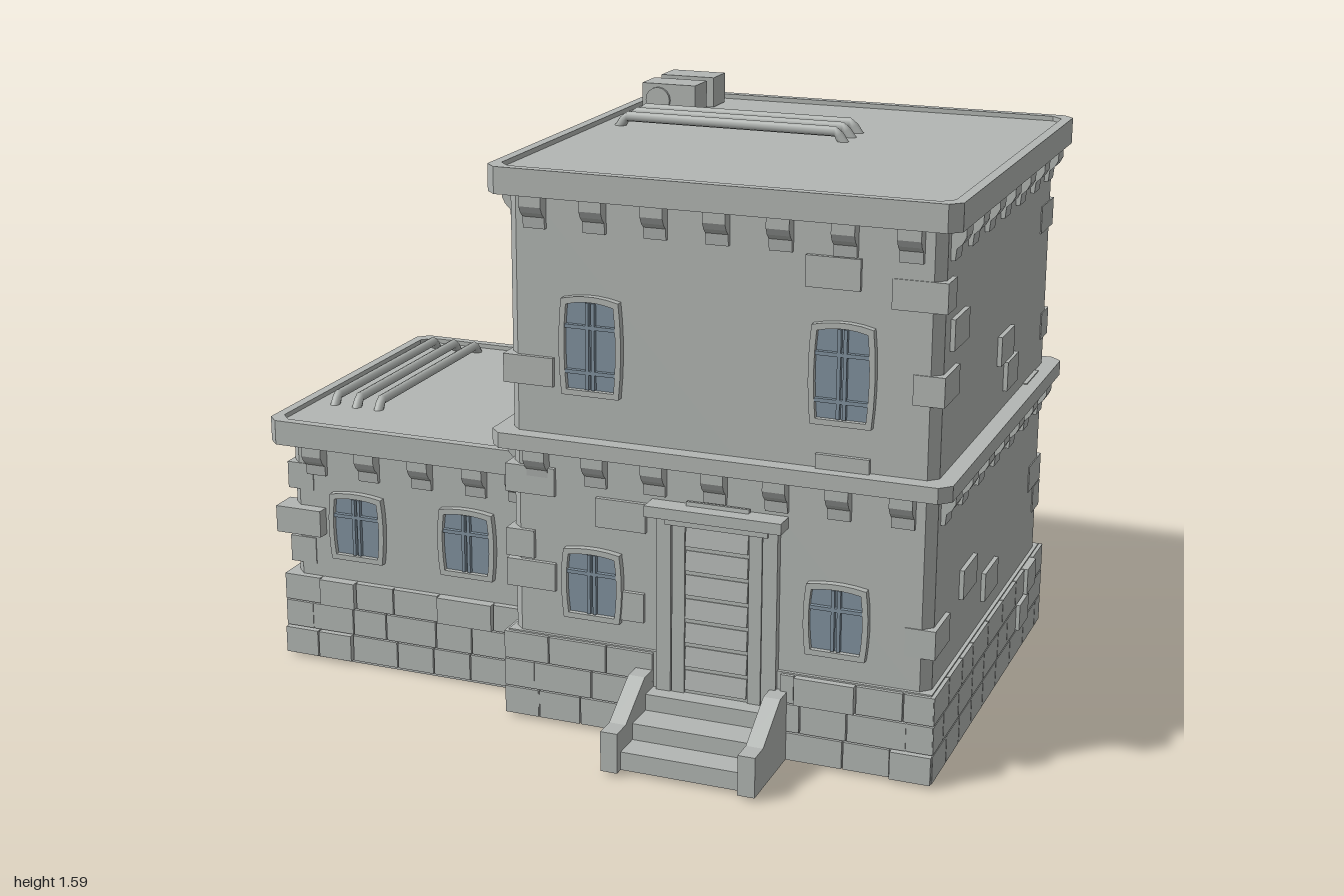
import * as THREE from 'three';

export function createModel() {
  const stone = new THREE.MeshStandardMaterial({ color: 0xb2b6b3 });
  stone.name = 'stone grey';
  const glass = new THREE.MeshStandardMaterial({ color: 0x80919e });
  glass.name = 'window blue grey';
  const model = new THREE.Group();
  model.name = 'building';

  let seed = 7;
  const rnd = (a, b) => {
    seed = (seed * 16807) % 2147483647;
    return a + (b - a) * (seed / 2147483647);
  };
  const add = (parent, name, geo, x = 0, y = 0, z = 0, mat = stone) => {
    const m = new THREE.Mesh(geo, mat);
    m.name = name;
    m.position.set(x, y, z);
    parent.add(m);
    return m;
  };
  const box = (parent, name, w, h, d, x, y, z, mat) =>
    add(parent, name, new THREE.BoxGeometry(w, h, d), x, y, z, mat);
  const extrude = (shape, depth) =>
    new THREE.ExtrudeGeometry(shape, { depth, bevelEnabled: false, curveSegments: 5 });
  const polygon = (pts) => new THREE.Shape(pts.map(([x, y]) => new THREE.Vector2(x, y)));

  // Group on one side of a block: local +z points outward from the wall
  const side = (name, cx, cz, angle, dist) => {
    const g = new THREE.Group();
    g.name = name;
    g.rotation.y = angle;
    g.position.set(cx + Math.sin(angle) * dist, 0, cz + Math.cos(angle) * dist);
    model.add(g);
    return g;
  };

  // Hollow rectangle with cut corners: walls, foundations and cornices
  const cutRect = (hx, hz, c) => polygon([
    [hx - c, -hz], [hx, -hz + c], [hx, hz - c], [hx - c, hz],
    [-hx + c, hz], [-hx, hz - c], [-hx, -hz + c], [-hx + c, -hz],
  ]);
  const ring = (name, cx, cz, hx, hz, inset, cut, y, h) => {
    const s = cutRect(hx, hz, cut);
    s.holes.push(cutRect(hx - inset, hz - inset, cut));
    add(model, name, extrude(s, h), cx, y, cz).rotation.x = -Math.PI / 2;
  };

  // Corbel row under a cornice
  const corbelGeo = extrude(polygon([
    [-0.015, 0.01], [0.037, 0.01], [0.037, -0.028], [0.028, -0.045], [0.014, -0.058],
    [0.011, -0.088], [-0.015, -0.088],
  ]), 0.06);
  corbelGeo.rotateY(-Math.PI / 2);
  corbelGeo.translate(0.03, 0, 0);
  const corbels = (g, y, positions) => positions.forEach((x) => add(g, 'corbel', corbelGeo, x, y, 0));

  // Three staggered courses of foundation bricks, leaving a gap where asked
  const baseBricks = (g, half, gap = [9, 9]) => {
    for (let row = 0; row < 3; row++) {
      let x = -half, n = row;
      while (x < half - 0.01) {
        let w = rnd(0.1, 0.17) * (x === -half && row % 2 ? 0.6 : 1);
        if (x + w > half - 0.06) w = half - x;
        const a = x, b = x + w;
        x = b;
        const out = rnd(0, 1) < 0.12 ? 0.01 : 0;
        const depth = n++ % 2 ? 0.1 : 0.055;
        const spans = b <= gap[0] || a >= gap[1] ? [[a, b]] : [[a, gap[0]], [gap[1], b]];
        for (const [s, e] of spans) {
          if (e - s < 0.015) continue;
          box(g, 'foundationBrick', e - s - 0.004, 0.076, depth,
            (s + e) / 2, 0.048 + row * 0.08, out - depth / 2);
        }
      }
    }
  };

  const wallBricks = (g, list) => list.forEach(([x, y, w = 0.14, h = 0.08]) =>
    box(g, 'wallBrick', w, h, 0.05, x, y, -0.013));

  // Corner stones, alternating their long side
  const quoins = (x, z, sx, sz, rows, outX, outZ) => rows.forEach(([y, longX]) => {
    const w = longX ? 0.14 : 0.08, d = longX ? 0.08 : 0.14;
    box(model, 'cornerStone', w, 0.077, d, x + sx * (outX - w / 2), y, z + sz * (outZ - d / 2));
  });

  // Window: arched frame, glass plate and glazing bars
  const archPath = (w, h) => {
    const p = new THREE.Shape();
    p.moveTo(-w * 0.46, -h / 2);
    p.lineTo(w * 0.46, -h / 2);
    p.quadraticCurveTo(w * 0.54, 0, w * 0.46, h * 0.46);
    p.quadraticCurveTo(0, h * 0.54, -w * 0.46, h * 0.46);
    p.quadraticCurveTo(-w * 0.54, 0, -w * 0.46, -h / 2);
    return p;
  };
  const windowAt = (g, x, y, h) => {
    const win = new THREE.Group();
    win.name = 'window';
    win.position.set(x, y, 0);
    g.add(win);
    const frame = archPath(0.172, h);
    frame.holes.push(archPath(0.142, h - 0.03));
    add(win, 'windowFrame', extrude(frame, 0.025), 0, 0, -0.005);
    add(win, 'windowGlass', extrude(archPath(0.15, h - 0.02), 0.006), 0, 0, 0, glass);
    for (const s of [-1, 1]) box(win, 'glazingBar', 0.009, h - 0.035, 0.016, s * 0.008, 0, 0.01, glass);
    const bars = h > 0.23 ? [-0.07, 0.05] : [0.03];
    bars.forEach((b) => box(win, 'glazingBar', 0.138, 0.01, 0.016, 0, b, 0.01, glass));
  };

  // Main tower
  const CX = 0.38, CZ = -0.11;
  ring('towerFoundation', CX, CZ, 0.585, 0.585, 0.03, 0.001, 0.01, 0.24);
  ring('towerWalls', CX, CZ, 0.575, 0.575, 0.02, 0.025, 0.24, 1.255);
  ring('middleCornice', CX, CZ, 0.62, 0.62, 0.06, 0.03, 0.77, 0.042);
  ring('topCornice', CX, CZ, 0.62, 0.62, 0.06, 0.03, 1.445, 0.053);
  ring('roofRim', CX, CZ, 0.62, 0.62, 0.027, 0.03, 1.498, 0.018);
  box(model, 'towerRoof', 1.2, 0.01, 1.2, CX, 1.498, CZ);

  const row7 = [-3, -2, -1, 0, 1, 2, 3].map((i) => i * 0.165);
  const towerSides = ['front', 'left', 'back', 'right'].map((n, i) => {
    const g = side(n + 'TowerSide', CX, CZ, i * Math.PI / 2, 0.575);
    corbels(g, 1.445, row7);
    corbels(g, 0.77, i === 3 ? [-0.495, 0.495] : row7);
    const base = side(n + 'TowerFoundation', CX, CZ, i * Math.PI / 2, 0.595);
    baseBricks(base, 0.595, i === 0 ? [-0.165, 0.185] : i === 3 ? [-0.45, 0.44] : undefined);
    return g;
  });
  wallBricks(towerSides[0], [[0.3, 1.315], [0.335, 0.81], [-0.26, 0.615], [-0.23, 0.365, 0.07]]);
  wallBricks(towerSides[1], [[-0.43, 1.165], [0.07, 0.99], [0.14, 0.9, 0.12], [-0.24, 0.445],
    [0, 0.35], [0.39, 0.775]]);
  wallBricks(towerSides[2], [[0.16, 1.2], [-0.37, 0.93], [0.15, 0.46]]);
  wallBricks(towerSides[3], [[-0.15, 1.18], [-0.19, 1.07, 0.12], [0.16, 1.19]]);
  for (const x of [-0.34, 0.33]) {
    windowAt(towerSides[0], x, 1.062, 0.265);
    windowAt(towerSides[0], x, 0.413, 0.2);
  }
  quoins(-0.195, 0.465, -1, 1, [[0.415, 1], [0.5, 0], [0.68, 1], [0.98, 1]], 0.012, 0.012);
  quoins(0.955, 0.465, 1, 1, [[0.38, 0], [1.04, 0], [1.275, 1]], 0.012, 0.003);
  quoins(0.955, -0.685, 1, -1, [[0.41, 1], [0.49, 0], [0.93, 1], [1.25, 0]], 0.003, 0.012);
  quoins(-0.195, -0.685, -1, -1, [[0.42, 1], [0.95, 0], [1.03, 1], [1.3, 0]], 0.012, 0.012);

  // Side wing
  const WX = -0.59, WZ = -0.115;
  ring('wingFoundation', -0.5825, WZ, 0.3825, 0.44, 0.03, 0.001, 0, 0.245);
  ring('wingWalls', -0.57, WZ, 0.38, 0.43, 0.02, 0.025, 0.24, 0.45);
  ring('wingCornice', WX, WZ, 0.41, 0.475, 0.065, 0.03, 0.64, 0.053);
  ring('wingRoofRim', WX, WZ, 0.41, 0.475, 0.027, 0.03, 0.693, 0.017);
  box(model, 'wingRoof', 0.78, 0.01, 0.91, WX, 0.692, WZ);
  const wingFront = side('wingFront', WX, WZ, 0, 0.43);
  const wingBack = side('wingBack', WX, WZ, Math.PI, 0.43);
  const wingEnd = side('wingEnd', WX, WZ, -Math.PI / 2, 0.36);
  const wingRow = [-0.275, -0.11, 0.055, 0.22, 0.35];
  corbels(wingFront, 0.64, wingRow);
  corbels(wingBack, 0.64, wingRow.map((x) => -x));
  corbels(wingEnd, 0.64, [-0.33, -0.165, 0, 0.165, 0.33]);
  [-0.15, 0.19].forEach((x) => {
    windowAt(wingFront, x, 0.413, 0.2);
    windowAt(wingBack, -x, 0.413, 0.2);
  });
  [-0.17, 0.17].forEach((x) => windowAt(wingEnd, x, 0.413, 0.2));
  baseBricks(side('wingFrontFoundation', WX, WZ, 0, 0.45), 0.385);
  baseBricks(side('wingBackFoundation', WX, WZ, Math.PI, 0.45), 0.385);
  baseBricks(side('wingEndFoundation', WX, WZ, -Math.PI / 2, 0.385), 0.45);
  quoins(-0.95, 0.315, -1, 1, [[0.415, 1]], 0.035, 0.035);
  quoins(-0.95, 0.315, -1, 1, [[0.32, 0], [0.54, 0]], 0.01, 0.003);
  quoins(-0.95, -0.545, -1, -1, [[0.42, 0]], 0.03, 0.03);
  quoins(-0.95, -0.545, -1, -1, [[0.31, 1], [0.53, 1]], 0.01, 0.01);

  // Slatted door with surround
  const door = new THREE.Group();
  door.name = 'door';
  door.position.set(0.39, 0, 0);
  model.add(door);
  box(door, 'doorPanel', 0.26, 0.5, 0.03, 0, 0.39, 0.464);
  for (let i = 0; i < 8; i++) {
    box(door, 'doorSlat', 0.17, 0.054, 0.012, 0, 0.188 + i * 0.0665, 0.48).rotation.x = -0.12;
  }
  for (const s of [-1, 1]) {
    box(door, 'doorStile', 0.035, 0.49, 0.014, s * 0.105, 0.39, 0.478);
    box(door, 'doorJamb', 0.04, 0.63, 0.05, s * 0.145, 0.325, 0.463);
  }
  box(door, 'doorLintel', 0.37, 0.03, 0.1, 0, 0.655, 0.475);
  box(door, 'doorHead', 0.28, 0.025, 0.06, 0, 0.628, 0.465);

  // Front steps, open underneath, with sloping cheek walls
  const steps = new THREE.Group();
  steps.name = 'frontSteps';
  model.add(steps);
  const stair = extrude(polygon([
    [0.47, 0.15], [0.47, 0.135], [0.515, 0.135], [0.515, 0.09], [0.605, 0.09], [0.605, 0.045],
    [0.685, 0.045], [0.685, 0.01], [0.7, 0.01], [0.7, 0.06], [0.62, 0.06], [0.62, 0.105],
    [0.53, 0.105], [0.53, 0.15],
  ]), 0.34);
  stair.rotateY(-Math.PI / 2);
  add(steps, 'stepTreads', stair, 0.545);
  const cheek = extrude(polygon([
    [0.46, 0.01], [0.725, 0.01], [0.725, 0.12], [0.665, 0.12], [0.535, 0.2], [0.46, 0.2],
  ]), 0.046);
  cheek.rotateY(-Math.PI / 2);
  [0.212, 0.585].forEach((x) => add(steps, 'stepCheek', cheek, x));

  // Bent pipes on both roofs
  const pipe = (name, a, b, y) => {
    const A = new THREE.Vector3(...a), B = new THREE.Vector3(...b);
    const dir = B.clone().sub(A).normalize().multiplyScalar(0.03);
    const up = (v, k) => v.clone().addScaledVector(dir, k).setY(y + 0.023);
    const path = new THREE.CurvePath();
    const pts = [A.setY(y - 0.01), up(A, 0.8), up(B, -0.8), B.setY(y - 0.01)];
    for (let i = 0; i < 3; i++) path.add(new THREE.LineCurve3(pts[i], pts[i + 1]));
    add(model, name, new THREE.TubeGeometry(path, 48, 0.014, 8));
  };
  [-0.33, -0.263, -0.195].forEach((z) => pipe('towerRoofPipe', [-0.16, 0, z], [0.495, 0, z], 1.506));
  [-0.91, -0.84, -0.77].forEach((x) => pipe('wingRoofPipe', [x, 0, -0.525], [x, 0, 0.13], 0.698));

  // Ventilation units with a round fan cover
  [-0.59, -0.44].forEach((z) => {
    box(model, 'ventUnit', 0.16, 0.085, 0.095, -0.09, 1.547, z);
    add(model, 'fanCover', new THREE.CylinderGeometry(0.036, 0.036, 0.012, 16), -0.12, 1.544, z + 0.05)
      .rotation.x = Math.PI / 2;
  });

  return model;
}
